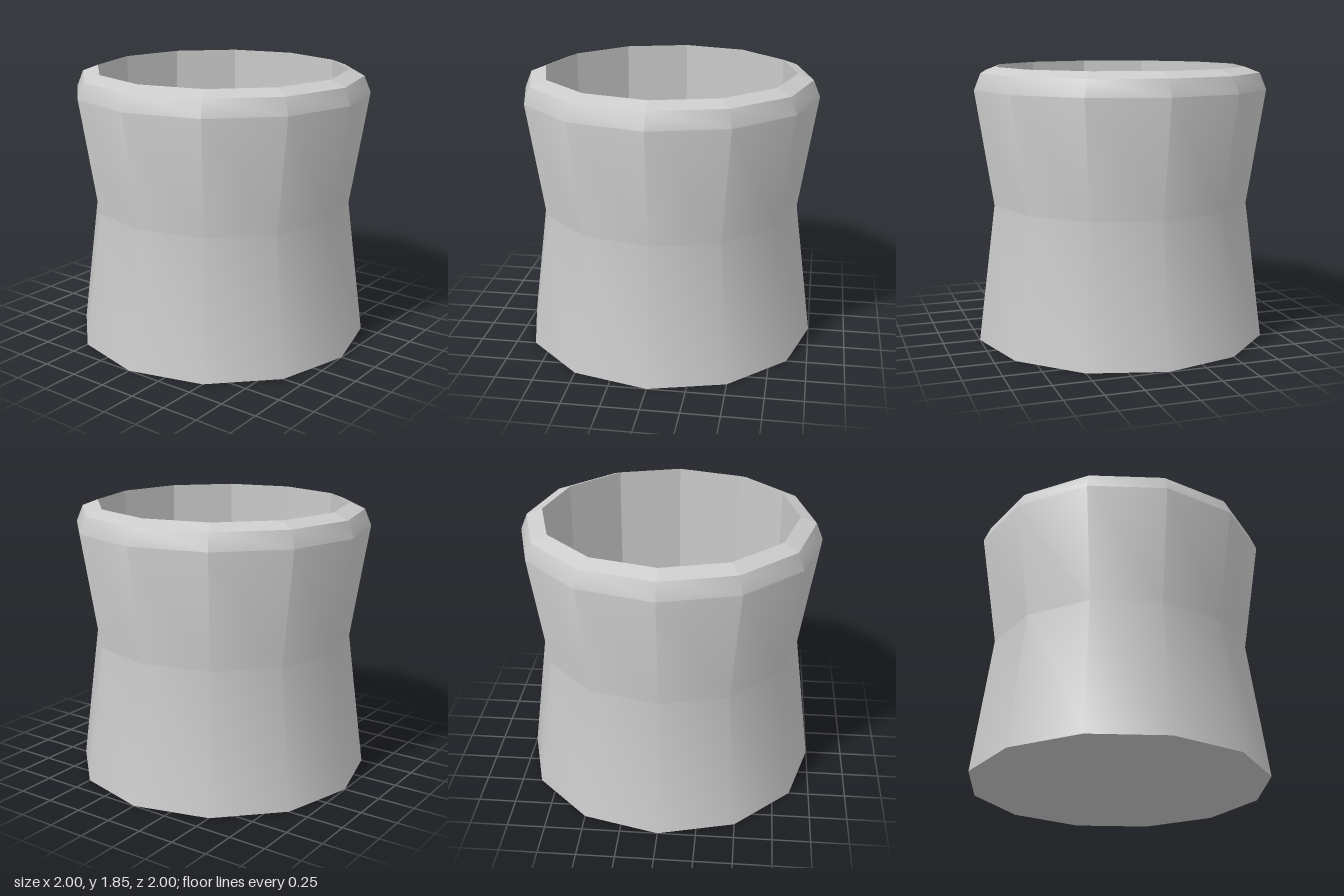
import * as THREE from 'three';
import { toCreasedNormals } from 'three/addons/utils/BufferGeometryUtils.js';

const SIDES = 12;
const FLOOR_Y = 0.1;
const INNER_R = 0.85;

export function createModel() {
  const group = new THREE.Group();
  group.name = 'cup';
  const smooth = new THREE.MeshStandardMaterial({ color: 0xcccccc });
  const flat = new THREE.MeshStandardMaterial({ color: 0xcccccc, flatShading: true });

  const add = (name, geometry, material) => {
    const mesh = new THREE.Mesh(geometry, material);
    mesh.name = name;
    group.add(mesh);
    return mesh;
  };
  // Revolve a profile of [radius, height] pairs; upward order faces outwards
  const revolve = (profile) =>
    new THREE.LatheGeometry(profile.map(([r, y]) => new THREE.Vector2(r, y)), SIDES);
  const disc = (radius, y, up) =>
    new THREE.CircleGeometry(radius, SIDES).rotateX(up ? -Math.PI / 2 : Math.PI / 2).translate(0, y, 0);

  // Waisted outer wall with a rounded shoulder
  const wall = revolve([[1, 0], [0.88, 0.93], [1, 1.7], [0.955, 1.81]]);
  add('outerWall', toCreasedNormals(wall, 0.58), smooth);

  // Sloping lip and straight faceted interior
  add('rim', revolve([[0.955, 1.81], [INNER_R, 1.85]]), flat);
  add('innerWall', revolve([[INNER_R, 1.85], [INNER_R, FLOOR_Y]]), flat);

  // Inside floor and underside
  add('innerFloor', disc(INNER_R, FLOOR_Y, true), flat);
  add('base', disc(1, 0, false), flat);

  return group;
}
